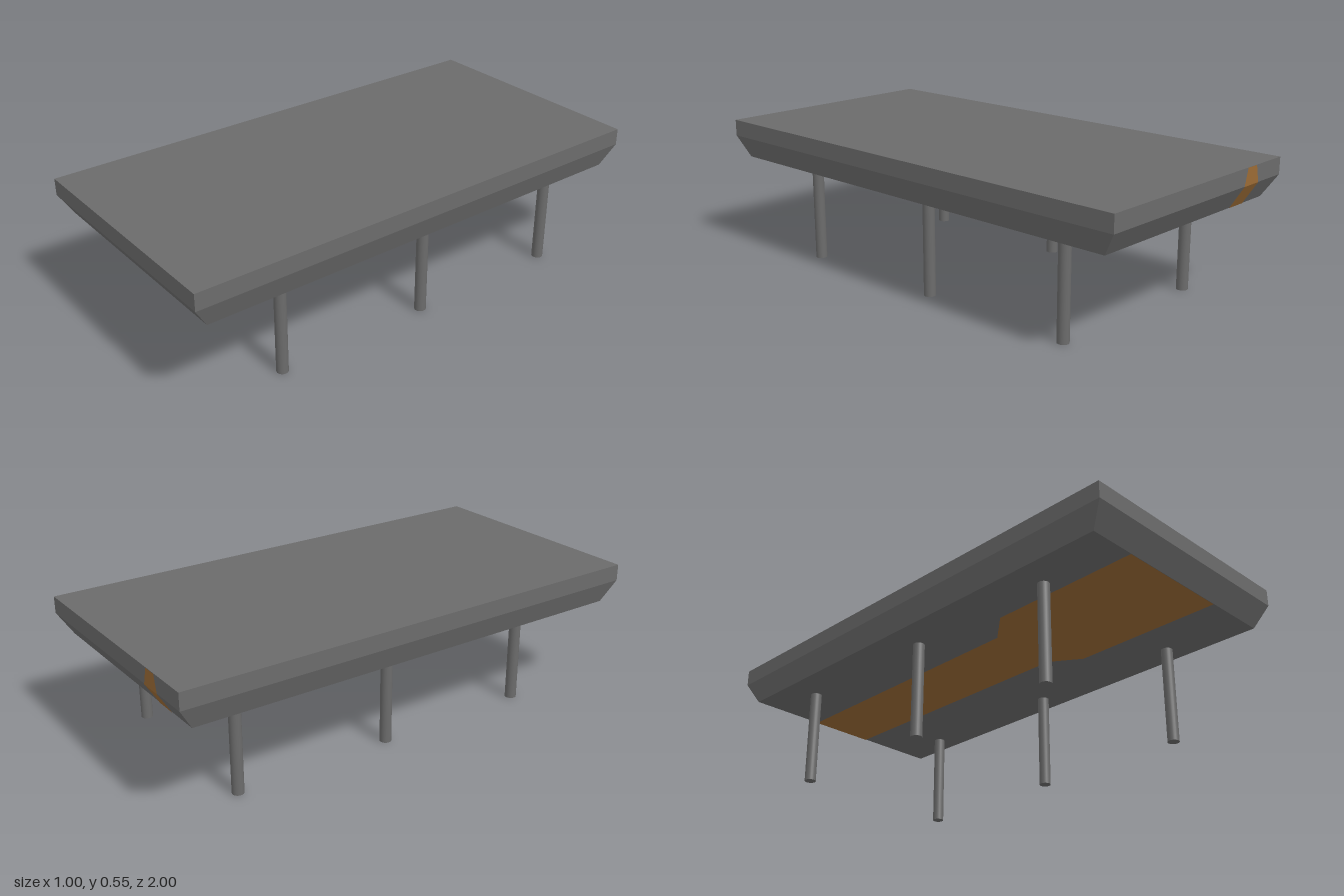
import * as THREE from 'three';

const TOP = 0.545, RIM = 0.478, BASE = 0.39;
const HALF_X = 0.5, HALF_Z = 1, BASE_X = 0.47, BASE_Z = 0.945;

// Box with two height rows: upright rim above, bevel drawn in to the underside
function slabGeometry() {
  const box = new THREE.BoxGeometry(2, 2, 2, 1, 2, 1);
  const p = box.attributes.position;
  for (let i = 0; i < p.count; i++) {
    const level = Math.round(p.getY(i));
    const low = level < 0;
    p.setXYZ(
      i,
      p.getX(i) * (low ? BASE_X : HALF_X),
      low ? BASE : level === 0 ? RIM : TOP,
      p.getZ(i) * (low ? BASE_Z : HALF_Z)
    );
  }
  const flat = box.toNonIndexed();
  flat.computeVertexNormals();
  return flat;
}

// Strip facing the back, from rows of [y, z, left x, right x], top to bottom
function backStripGeometry(rows) {
  const points = [];
  for (let i = 0; i < rows.length - 1; i++) {
    const [y0, z0, l0, r0] = rows[i];
    const [y1, z1, l1, r1] = rows[i + 1];
    const a = [l0, y0, z0], b = [r0, y0, z0], c = [l1, y1, z1], d = [r1, y1, z1];
    points.push(...a, ...c, ...d, ...a, ...d, ...b);
  }
  const geometry = new THREE.BufferGeometry();
  geometry.setAttribute('position', new THREE.Float32BufferAttribute(points, 3));
  geometry.computeVertexNormals();
  return geometry;
}

export function createModel() {
  const group = new THREE.Group();
  const grey = new THREE.MeshStandardMaterial({ name: 'concrete grey', color: 0x6b6b6b });
  const rust = new THREE.MeshStandardMaterial({ name: 'rust brown', color: 0x9a6a35 });

  const add = (name, geometry, material) => {
    const mesh = new THREE.Mesh(geometry, material);
    mesh.name = name;
    group.add(mesh);
    return mesh;
  };

  // Deck slab
  add('deck', slabGeometry(), grey);

  // Two rows of three round posts
  const post = new THREE.CylinderGeometry(0.023, 0.023, BASE, 24);
  for (const x of [-0.335, 0.383]) {
    for (const z of [0.602, -0.055, -0.713]) {
      add('post', post, grey).position.set(x, BASE / 2, z);
    }
  }

  // Long painted patch on the underside, wider towards the front
  const outline = [
    [0.126, -BASE_Z], [0.126, 0.206], [0.205, 0.325], [0.205, BASE_Z],
    [-0.276, BASE_Z], [-0.27, 0.325], [-0.165, 0.206], [-0.155, -BASE_Z],
  ].map(([x, z]) => new THREE.Vector2(x, z));
  const patch = new THREE.ShapeGeometry(new THREE.Shape(outline)).rotateX(Math.PI / 2);
  add('undersidePatch', patch, rust).position.y = BASE - 0.002;

  // Painted stripe down the back rim and bevel
  add('backStripe', backStripGeometry([
    [TOP, -HALF_Z, -0.275, -0.332],
    [RIM, -HALF_Z, -0.256, -0.348],
    [BASE, -BASE_Z, -0.252, -0.34],
  ]), rust).position.z = -0.002;

  return group;
}
